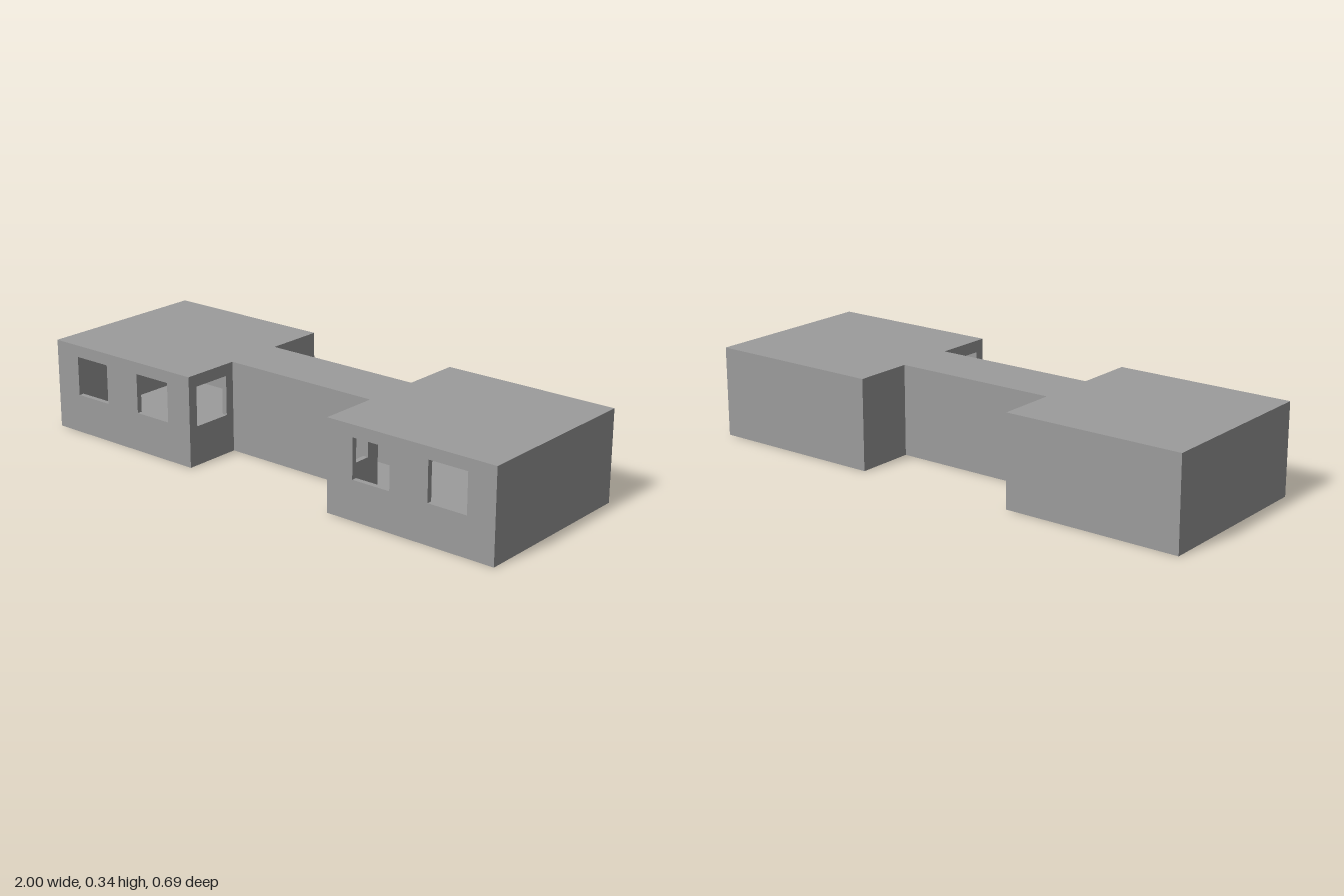
import * as THREE from 'three';

const H = 0.343;  // building height
const T = 0.02;   // wall, floor and roof thickness
const W = 0.155, WH = 0.15; // window width and height
const SILL = 0.148;

// plan outline as [x, z]: two square wings joined by a narrow corridor
const D = 0.343, X = 0.318, C = 0.115;
const half = [[-1, D], [-X, D], [-X, C], [X, C], [X, D], [1, D]];
const outline = [...half, ...half.map(([x, z]) => [-x, -z])]
  .map(([x, z]) => new THREE.Vector2(x, z));
const N = outline.length;

// window offsets along each outline edge (front walls and inner side walls)
const windows = { 0: [0.109, 0.419], 1: [0.038], 3: [0.035], 4: [0.108, 0.418] };

const direction = i => outline[(i + 1) % N].clone().sub(outline[i % N]).normalize();

// outline moved inwards by the wall thickness
const inset = outline.map((p, i) => {
  const a = direction(i + N - 1), b = direction(i);
  return new THREE.Vector2(p.x + T * (a.y + b.y), p.y - T * (a.x + b.x));
});

const near = (a, b) => Math.abs(a - b) < 1e-4;

// apply a rule to every vertex, then refresh the flat normals
function reshape(geometry, rule) {
  const pos = geometry.attributes.position, v = new THREE.Vector3();
  for (let i = 0; i < pos.count; i++) {
    rule(v.fromBufferAttribute(pos, i));
    pos.setXYZ(i, v.x, v.y, v.z);
  }
  geometry.computeVertexNormals();
  return geometry;
}

// wall panel with window openings, mitred to its neighbours, floor and roof
function wallGeometry(i) {
  const a = outline[i], j = (i + 1) % N, b = outline[j], d = direction(i);
  const L = a.distanceTo(b);
  const start = inset[i].clone().sub(a).dot(d);
  const end = inset[j].clone().sub(b).dot(d);

  const shape = new THREE.Shape([[0, 0], [L, 0], [L, H], [0, H]].map(p => new THREE.Vector2(...p)));
  for (const s of windows[i] || []) {
    const corners = [[s, SILL], [s, SILL + WH], [s + W, SILL + WH], [s + W, SILL]];
    shape.holes.push(new THREE.Path(corners.map(p => new THREE.Vector2(...p))).closePath());
  }

  const geometry = new THREE.ExtrudeGeometry(shape, { depth: T, bevelEnabled: false });
  geometry.translate(0, 0, -T);
  return reshape(geometry, v => {
    if (!near(v.z, -T)) return;
    if (near(v.x, 0)) v.x += start;
    else if (near(v.x, L)) v.x += end;
    if (near(v.y, 0)) v.y = T;
    else if (near(v.y, H)) v.y = H - T;
  });
}

// floor or roof slab, its inner side drawn in to meet the mitred walls
function slabGeometry(base, innerY) {
  const shape = new THREE.Shape(outline.map(p => new THREE.Vector2(p.x, -p.y)));
  const geometry = new THREE.ExtrudeGeometry(shape, { depth: T, bevelEnabled: false });
  geometry.rotateX(-Math.PI / 2).translate(0, base, 0);
  return reshape(geometry, v => {
    if (!near(v.y, innerY)) return;
    const k = outline.findIndex(p => near(p.x, v.x) && near(p.y, v.z));
    v.x = inset[k].x;
    v.z = inset[k].y;
  });
}

export function createModel() {
  const group = new THREE.Group();
  group.name = 'building';
  const material = new THREE.MeshStandardMaterial({ color: 0x9c9c9c });
  const add = (name, geometry) => {
    const mesh = new THREE.Mesh(geometry, material);
    mesh.name = name;
    group.add(mesh);
    return mesh;
  };

  add('floor', slabGeometry(0, T));
  add('roof', slabGeometry(H - T, H - T));

  // outer walls around the plan
  const names = ['rightWingFrontWall', 'rightWingInnerFrontWall', 'corridorFrontWall',
    'leftWingInnerFrontWall', 'leftWingFrontWall', 'leftWingSideWall',
    'leftWingBackWall', 'leftWingInnerBackWall', 'corridorBackWall',
    'rightWingInnerBackWall', 'rightWingBackWall', 'rightWingSideWall'];
  names.forEach((name, i) => {
    const wall = add(name, wallGeometry(i)), d = direction(i);
    wall.position.set(outline[i].x, 0, outline[i].y);
    wall.rotation.y = Math.atan2(-d.y, d.x);
  });
  return group;
}
